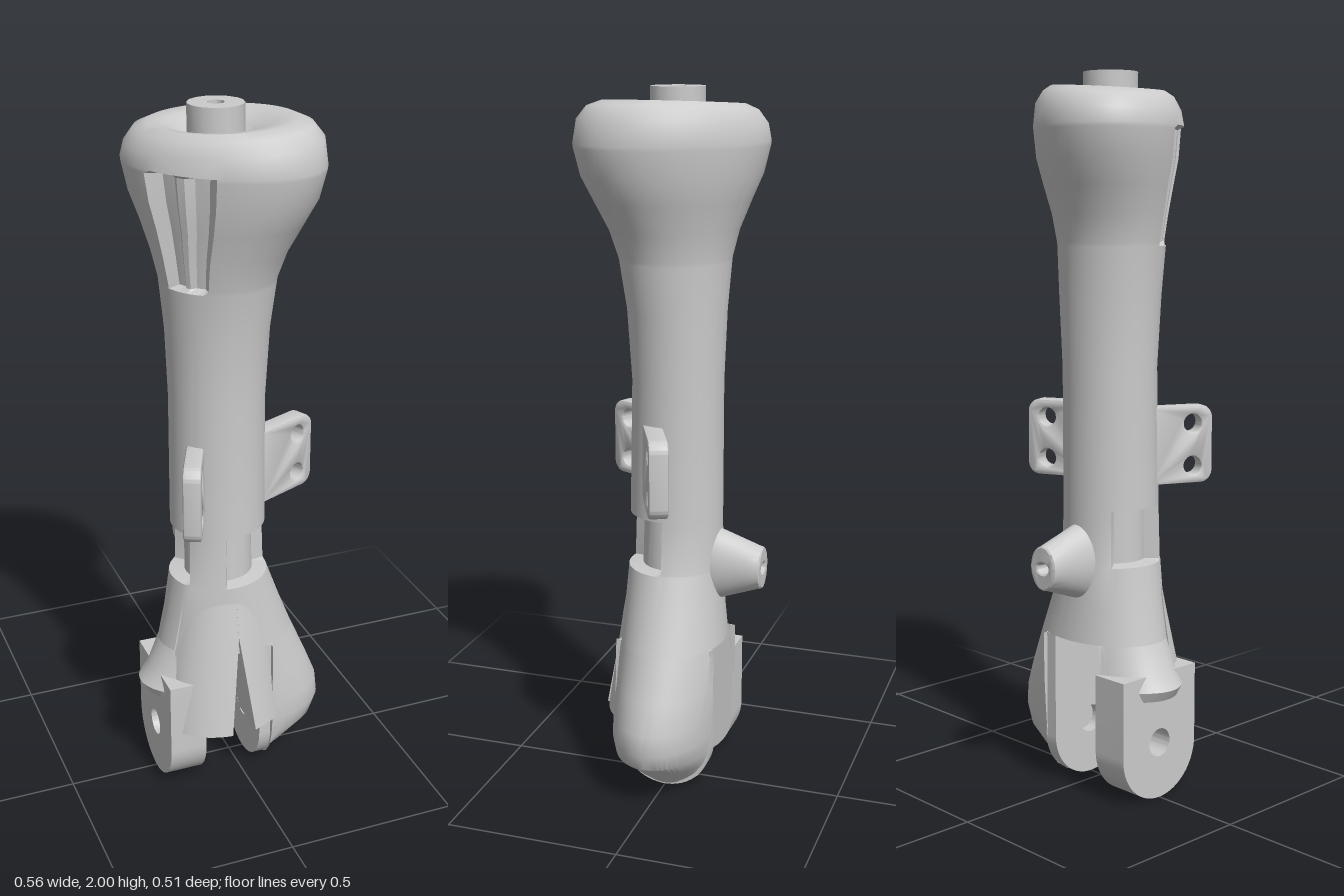
import * as THREE from 'three';
import { toCreasedNormals } from 'three/addons/utils/BufferGeometryUtils.js';

const material = new THREE.MeshStandardMaterial({ color: 0xcccccc, side: THREE.DoubleSide });
const N = 72;

// Loft through oval sections [y, x0, x1, z0, z1, skew]; rule(p, angle, centre) may move each point.
function loft(sections, rule = () => {}) {
  const pos = [], idx = [], p = new THREE.Vector3();
  for (const [y, x0, x1, z0, z1, skew = 0] of sections) {
    const cx = (x0 + x1) / 2, cz = (z0 + z1) / 2;
    for (let j = 0; j < N; j++) {
      const t = j / N * Math.PI * 2;
      p.set(cx + (x1 - x0) / 2 * Math.cos(t - skew), y, cz + (z1 - z0) / 2 * Math.sin(t + skew));
      rule(p, t * 180 / Math.PI, cx, cz);
      pos.push(p.x, p.y, p.z);
    }
  }
  const rows = sections.length;
  for (let i = 0; i < rows - 1; i++) {
    for (let j = 0; j < N; j++) {
      const a = i * N + j, b = i * N + (j + 1) % N;
      idx.push(a, a + N, b, b, a + N, b + N);
    }
  }
  // end caps
  for (const row of [0, rows - 1]) {
    const c = new THREE.Vector3();
    for (let j = 0; j < N; j++) c.add(p.fromArray(pos, (row * N + j) * 3));
    c.divideScalar(N);
    const k = pos.length / 3;
    pos.push(c.x, c.y, c.z);
    for (let j = 0; j < N; j++) {
      const a = row * N + j, b = row * N + (j + 1) % N;
      if (row === 0) idx.push(k, a, b); else idx.push(k, b, a);
    }
  }
  const g = new THREE.BufferGeometry();
  g.setAttribute('position', new THREE.Float32BufferAttribute(pos, 3));
  g.setIndex(idx);
  return toCreasedNormals(g, 0.6);
}

function hole(shape, x, y, r) {
  shape.holes.push(new THREE.Path().absarc(x, y, r, 0, Math.PI * 2, true));
}

// Upright cheek with a round foot and a pin hole, spanning xa..xb
function cheekGeometry(xa, xb, r, top) {
  const s = new THREE.Shape();
  s.moveTo(r, top).lineTo(-r, top).lineTo(-r, r);
  s.absarc(0, r, r, Math.PI, Math.PI * 2, false);
  s.closePath();
  hole(s, 0, 0.16, 0.04);
  const g = new THREE.ExtrudeGeometry(s, { depth: xb - xa, bevelEnabled: false, curveSegments: 20 });
  g.rotateY(Math.PI / 2).translate(xa, 0, 0);
  return toCreasedNormals(g, 0.6);
}

// Rounded mounting plate with two screw holes, running out along local +x
function plateGeometry(length, thick) {
  const r = 0.035, y0 = 0.87, y1 = 1.09, s = new THREE.Shape();
  s.moveTo(0, y0).lineTo(length - r, y0);
  s.absarc(length - r, y0 + r, r, -Math.PI / 2, 0, false);
  s.absarc(length - r, y1 - r, r, 0, Math.PI / 2, false);
  s.lineTo(0, y1).closePath();
  for (const y of [0.92, 1.04]) hole(s, length - 0.06, y, 0.026);
  const g = new THREE.ExtrudeGeometry(s, {
    depth: thick - 0.016, bevelThickness: 0.008, bevelSize: 0.006, bevelOffset: -0.006, bevelSegments: 2, curveSegments: 10
  });
  g.translate(0, 0, -(thick - 0.016) / 2);
  return toCreasedNormals(g, 0.6);
}

export function createModel() {
  const model = new THREE.Group();
  const add = (name, geometry) => {
    const m = new THREE.Mesh(geometry, material);
    m.name = name;
    model.add(m);
    return m;
  };

  // Shaft flaring into a dished, slightly tilted head
  const shaft = [
    [0.44, -0.215, 0.19, -0.15, 0.15],
    [0.54, -0.195, 0.15, -0.14, 0.145],
    [0.655, -0.178, 0.107, -0.132, 0.14],
    [0.66, -0.175, 0.105, -0.132, 0.14],
    [0.81, -0.172, 0.1, -0.13, 0.135],
    [0.815, -0.172, 0.1, -0.13, 0.135],
    [1.2, -0.17, 0.1, -0.13, 0.127],
    [1.4, -0.178, 0.11, -0.138, 0.14],
    [1.535, -0.19, 0.122, -0.147, 0.158, 0.03],
    [1.545, -0.191, 0.123, -0.148, 0.16, 0.03],
    [1.62, -0.207, 0.145, -0.165, 0.18, 0.06],
    [1.7, -0.228, 0.18, -0.195, 0.212, 0.1],
    [1.77, -0.25, 0.21, -0.222, 0.24, 0.13],
    [1.845, -0.263, 0.224, -0.237, 0.254, 0.15],
    [1.855, -0.264, 0.225, -0.238, 0.255, 0.15],
    [1.91, -0.255, 0.217, -0.23, 0.245, 0.15],
    [1.945, -0.232, 0.192, -0.205, 0.22, 0.15],
    [1.96, -0.2, 0.16, -0.175, 0.185, 0.13],
    [1.955, -0.165, 0.115, -0.135, 0.145, 0.1],
    [1.93, -0.125, 0.06, -0.09, 0.095, 0.05],
    [1.915, -0.105, 0.035, -0.07, 0.07]
  ];
  add('shaftAndHead', loft(shaft, (p, deg, cx, cz) => {
    const inside = (a, b, y0, y1) => deg > a && deg < b && p.y > y0 && p.y < y1;
    let k = 1;
    if (inside(4, 97, 0.657, 0.812) || inside(150, 222, 0.657, 0.812)) k = 0.7; // windows
    if (inside(122, 162, 1.54, 1.85)) k = inside(137, 148, 1.54, 1.85) ? 0.92 : 0.83; // head groove
    p.x = cx + (p.x - cx) * k;
    p.z = cz + (p.z - cz) * k;
    if (p.y > 1.86) p.y += 0.07 * p.x;
  }));

  // Bored peg on top
  const peg = add('topPeg', toCreasedNormals(new THREE.LatheGeometry(
    [[0.023, 1.88], [0.075, 1.88], [0.075, 2], [0.023, 2], [0.023, 1.88]].map(([x, y]) => new THREE.Vector2(x, y)), 16), 0.5));
  peg.position.x = -0.035;

  // Bulbous lobe beside the slot
  const bulb = [
    [0, 0.04, 0.07, -0.02, 0.02],
    [0.012, -0.03, 0.1, -0.06, 0.06],
    [0.04, -0.1, 0.135, -0.1, 0.105],
    [0.08, -0.15, 0.185, -0.125, 0.135],
    [0.13, -0.2, 0.26, -0.138, 0.15],
    [0.18, -0.22, 0.28, -0.142, 0.155],
    [0.24, -0.22, 0.274, -0.146, 0.155],
    [0.32, -0.22, 0.242, -0.15, 0.153],
    [0.44, -0.215, 0.19, -0.15, 0.15]
  ];
  add('bulbLobe', loft(bulb, (p) => { p.x = Math.max(p.x, 0.08); }));
  add('bulbInnerCheek', cheekGeometry(0.045, 0.085, 0.138, 0.44));

  // Flat cheek on the other side, with its flared shoulder
  add('flatCheek', cheekGeometry(-0.235, -0.125, 0.142, 0.36));
  add('cheekShoulder', loft([
    [0.29, -0.262, 0.25, -0.15, 0.155],
    [0.32, -0.28, 0.245, -0.15, 0.155],
    [0.36, -0.25, 0.225, -0.15, 0.153],
    [0.44, -0.215, 0.19, -0.15, 0.15]
  ], (p) => { p.x = Math.min(p.x, -0.125); }));

  // Front apron, split by a tapering slit
  const apron = [
    [0.2, -0.235, 0.14, -0.1, 0.207],
    [0.35, -0.215, 0.125, -0.1, 0.184],
    [0.5, -0.185, 0.11, -0.1, 0.16],
    [0.64, -0.16, 0.09, -0.1, 0.136]
  ];
  for (const side of [-1, 1]) {
    add(side < 0 ? 'apronRight' : 'apronLeft', loft(apron, (p) => {
      const edge = -0.03 + side * 0.036 * Math.max(0, 0.5 - p.y) / 0.3;
      p.x = side < 0 ? Math.min(p.x, edge) : Math.max(p.x, edge);
      p.z = Math.max(p.z, 0.07);
    }));
  }

  // Mounting plates on the shaft
  const plateB = add('mountingPlateLeft', plateGeometry(0.21, 0.055));
  plateB.position.set(0.06, 0, 0.045);
  plateB.rotation.y = 0.42;
  const plateA = add('mountingPlateRight', plateGeometry(0.19, 0.05));
  plateA.position.set(-0.12, 0, 0.06);
  plateA.rotation.y = -1.98;

  // Tapered eyelet lug on the back
  const lugShape = new THREE.Shape();
  lugShape.absellipse(0, 0, 0.065, 0.115, 0, Math.PI * 2, false);
  hole(lugShape, 0, 0, 0.026);
  const lug = new THREE.ExtrudeGeometry(lugShape, {
    depth: 0.145, steps: 5, curveSegments: 20, bevelThickness: 0.012, bevelSize: 0.01, bevelOffset: -0.01, bevelSegments: 2
  });
  const lp = lug.attributes.position;
  for (let i = 0; i < lp.count; i++) {
    const f = THREE.MathUtils.clamp(lp.getZ(i) / 0.145, 0, 1);
    lp.setXY(i, lp.getX(i) * (1 - 0.2 * f), lp.getY(i) * (1 - 0.45 * f));
  }
  lug.rotateY(Math.PI).translate(-0.035, 0.665, -0.1);
  add('backLug', toCreasedNormals(lug, 0.6));

  return model;
}
